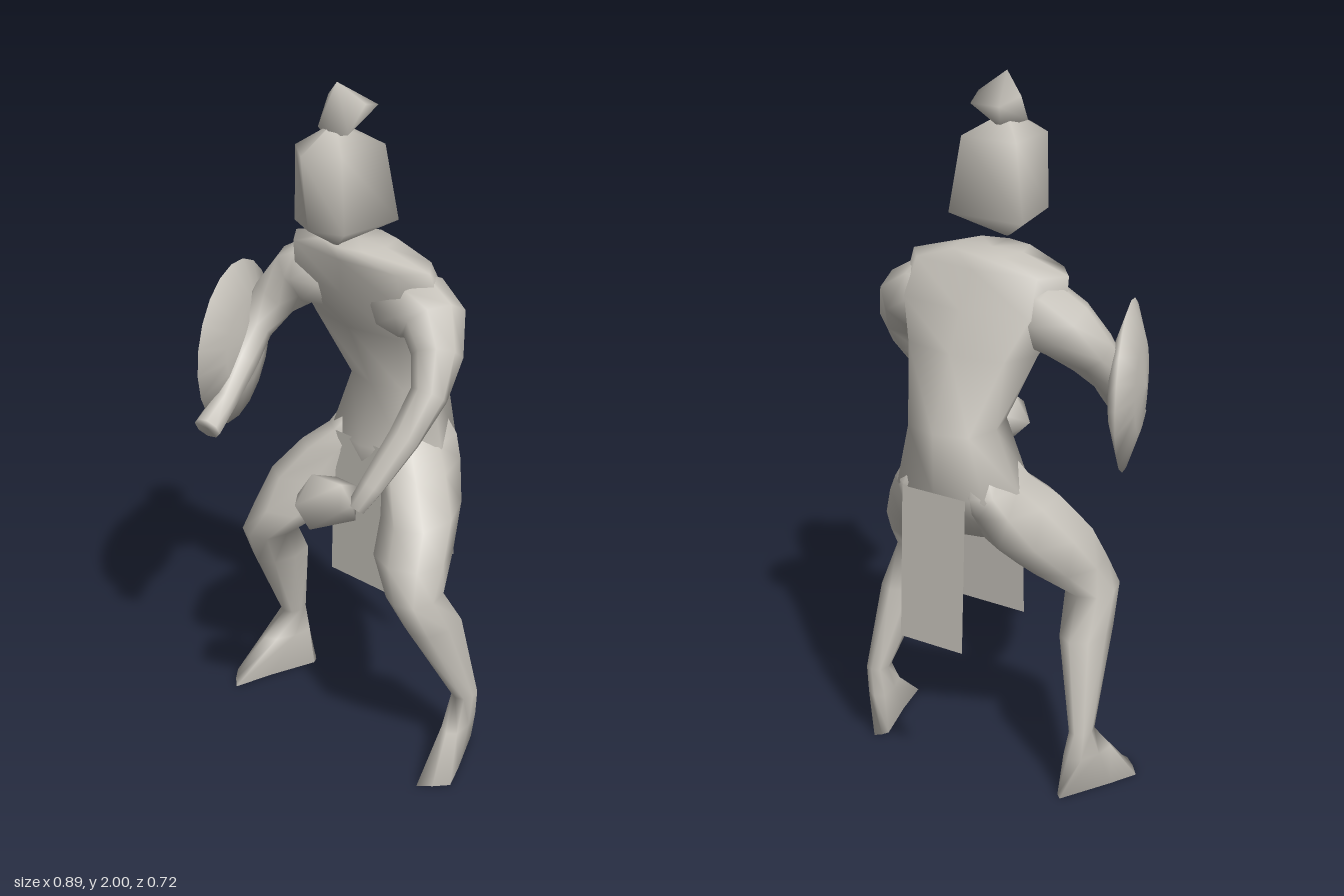
import * as THREE from 'three';
import { mergeVertices } from 'three/addons/utils/BufferGeometryUtils.js';
import { ConvexGeometry } from 'three/addons/geometries/ConvexGeometry.js';

const V = (x, y, z) => new THREE.Vector3(x, y, z);
const SIDES = 8;

// Skin a list of equal-length rings and close both ends; winding is corrected to face outward.
function loft(rings) {
  const n = rings[0].length, pts = rings.flat(), idx = [];
  for (let r = 0; r < rings.length - 1; r++) {
    for (let i = 0; i < n; i++) {
      const j = (i + 1) % n, a = r * n + i, b = r * n + j;
      idx.push(a, b, a + n, b, b + n, a + n);
    }
  }
  const cap = (start, flip) => {
    const c = V(0, 0, 0);
    for (let i = 0; i < n; i++) c.addScaledVector(pts[start + i], 1 / n);
    const k = pts.push(c) - 1;
    for (let i = 0; i < n; i++) {
      const a = start + i, b = start + (i + 1) % n;
      if (flip) idx.push(k, b, a); else idx.push(k, a, b);
    }
  };
  const last = (rings.length - 1) * n;
  cap(0, true);
  cap(last, false);
  let volume = 0;
  for (let i = 0; i < idx.length; i += 3) {
    volume += pts[idx[i]].dot(pts[idx[i + 1]].clone().cross(pts[idx[i + 2]]));
  }
  if (volume < 0) idx.reverse();
  const g = new THREE.BufferGeometry().setFromPoints(pts);
  g.setIndex(idx);
  g.computeVertexNormals();
  return g;
}

// Level ring given by its x and z extents; square < 1 makes it boxier, shear moves the front outward.
function ring(y, x0, x1, z0, z1, square = 0.85, shear = 0) {
  const p = v => (Math.abs(v) < 1e-6 ? 0 : Math.sign(v) * Math.abs(v) ** square);
  return Array.from({ length: SIDES }, (_, i) => {
    const a = i / SIDES * Math.PI * 2, c = p(Math.cos(a)), s = p(Math.sin(a));
    return V((x0 + x1) / 2 + (x1 - x0) / 2 * c + shear * s, y, (z0 + z1) / 2 + (z1 - z0) / 2 * s);
  });
}

// Tapered limb along [x, y, z, radius] stations, with rings square to the path.
function limb(stations, side) {
  const c = stations.map(([x, y, z]) => V(x * side, y, z));
  return loft(stations.map((st, k) => {
    const d = c[Math.min(k + 1, c.length - 1)].clone().sub(c[Math.max(k - 1, 0)]).normalize();
    const u = V(0, 0, 1).addScaledVector(d, -d.z).normalize(), w = d.clone().cross(u);
    return Array.from({ length: SIDES }, (_, i) => {
      const a = i / SIDES * Math.PI * 2;
      return c[k].clone().addScaledVector(u, st[3] * Math.cos(a)).addScaledVector(w, st[3] * Math.sin(a));
    });
  }));
}

// Smooth-shaded convex lump
function lump(points) {
  const g = new ConvexGeometry(points.map(p => V(...p)));
  g.deleteAttribute('normal');
  const m = mergeVertices(g, 1e-4);
  m.computeVertexNormals();
  return m;
}

export function createModel() {
  const model = new THREE.Group();
  const clay = new THREE.MeshStandardMaterial({ color: 0xc8c4bc, side: THREE.DoubleSide });
  clay.name = 'warm grey clay';
  const add = (name, geometry) => {
    const mesh = new THREE.Mesh(geometry, clay);
    mesh.name = name;
    model.add(mesh);
    return mesh;
  };
  const outline = (y, s) => s.map(([x, z]) => V(x, y, z));

  // Stooped torso: [y, half width, back z, front z, squareness]
  add('torso', loft([
    [1.54, 0.10, -0.14, 0.04, 0.7],
    [1.50, 0.25, -0.15, 0.03, 0.75],
    [1.40, 0.26, -0.205, 0.02, 0.75],
    [1.29, 0.20, -0.255, -0.01, 0.75],
    [1.09, 0.125, -0.34, -0.10, 0.7],
    [0.91, 0.185, -0.34, -0.055, 0.75],
    [0.80, 0.16, -0.27, -0.075, 0.8],
    [0.74, 0.07, -0.19, -0.10, 0.8],
  ].map(([y, w, zb, zf, sq]) => ring(y, -w, w, zb, zf, sq))));

  // Bent legs: [y, inner x, outer x, back z, front z, square, shear]
  const legRings = [
    [1.00, 0.05, 0.13, -0.29, -0.12],
    [0.92, 0.04, 0.178, -0.325, -0.065],
    [0.86, 0.05, 0.235, -0.31, -0.01, 0.9, 0.02],
    [0.76, 0.08, 0.305, -0.26, 0.045, 0.95, 0.035],
    [0.66, 0.115, 0.34, -0.16, 0.085, 0.9, 0.015],
    [0.57, 0.22, 0.36, -0.06, 0.11],
    [0.46, 0.245, 0.37, -0.13, 0.06],
    [0.20, 0.32, 0.385, -0.17, -0.09],
    [0.12, 0.318, 0.395, -0.18, -0.025, 0.8, 0.02],
  ];
  // Wedge-shaped sole: narrow heel, broad toes turned out
  const sole = [[0.405, -0.05], [0.443, 0.03], [0.41, 0.07], [0.375, 0.10],
    [0.345, -0.02], [0.298, -0.165], [0.308, -0.185], [0.325, -0.2]];
  for (const [side, label] of [[1, 'left'], [-1, 'right']]) {
    const rings = [...legRings.map(r => ring(...r)), outline(0, sole)];
    add(label + 'Leg', loft(rings.map(r => r.map(p => p.setX(p.x * side)))));
  }

  // Arms: shared shoulder, different forearms
  const shoulder = [
    [0.10, 1.39, -0.08, 0.09],
    [0.20, 1.385, -0.08, 0.10],
    [0.255, 1.36, -0.075, 0.09],
    [0.307, 1.29, -0.03, 0.07],
    [0.333, 1.205, 0.03, 0.052],
  ];
  add('leftArm', limb([...shoulder,
    [0.318, 1.10, 0.11, 0.045],
    [0.285, 0.98, 0.20, 0.035],
    [0.262, 0.92, 0.235, 0.028]], 1));
  add('rightArm', limb([...shoulder,
    [0.305, 1.13, 0.11, 0.045],
    [0.28, 1.05, 0.20, 0.035],
    [0.258, 1.0, 0.292, 0.04]], -1));

  // Closed fist
  add('leftFist', lump([
    [0.075, 0.905, 0.27], [0.15, 0.835, 0.30], [0.235, 0.86, 0.21], [0.15, 0.85, 0.20],
    [0.15, 0.93, 0.355], [0.27, 0.935, 0.31], [0.25, 1.0, 0.28], [0.13, 0.985, 0.27],
    [0.14, 0.95, 0.185], [0.22, 0.95, 0.185], [0.262, 0.93, 0.25],
  ]));

  // Head: flat back, pointed face, peaked crown and chin
  add('head', loft([
    outline(1.885, [[0.0, 0.03], [0.02, 0.03], [0.02, 0.06], [0.01, 0.07], [0.0, 0.06]]),
    outline(1.83, [[-0.075, -0.045], [0.1, -0.045], [0.1, 0.12], [0.015, 0.185], [-0.07, 0.12]]),
    outline(1.62, [[-0.112, -0.07], [0.127, -0.07], [0.108, 0.12], [0.015, 0.16], [-0.075, 0.12]]),
    outline(1.55, [[0.0, 0.03], [0.01, 0.03], [0.015, 0.045], [0.005, 0.05], [0.0, 0.045]]),
  ]));

  // Hair knot
  add('topKnot', lump([
    [-0.045, 1.87, 0.06], [0.065, 1.87, 0.06], [0.015, 1.86, 0.09], [0.01, 1.85, 0.01],
    [-0.055, 1.945, 0.01], [0.08, 1.945, 0.01], [0.015, 2.0, 0.05],
    [-0.03, 1.925, -0.06], [0.06, 1.925, -0.06],
  ]));

  // Loincloth panels
  const front = add('frontLoincloth', new THREE.PlaneGeometry(0.22, 0.45));
  front.position.set(0, 0.695, -0.06);
  front.rotation.x = -0.03;
  const back = add('backLoincloth', new THREE.PlaneGeometry(0.205, 0.45));
  back.position.set(0, 0.695, -0.35);
  back.rotation.x = 0.045;

  // Round lens-shaped shield on the right forearm
  const profile = [[0, -0.05], [0.13, -0.037], [0.24, 0], [0.13, 0.037], [0, 0.05]]
    .map(p => new THREE.Vector2(...p));
  const shield = add('shield', new THREE.LatheGeometry(profile, 20));
  shield.position.set(-0.357, 1.17, 0.085);
  shield.quaternion.setFromUnitVectors(V(0, 1, 0), V(-0.935, 0, 0.355).normalize());

  return model;
}
